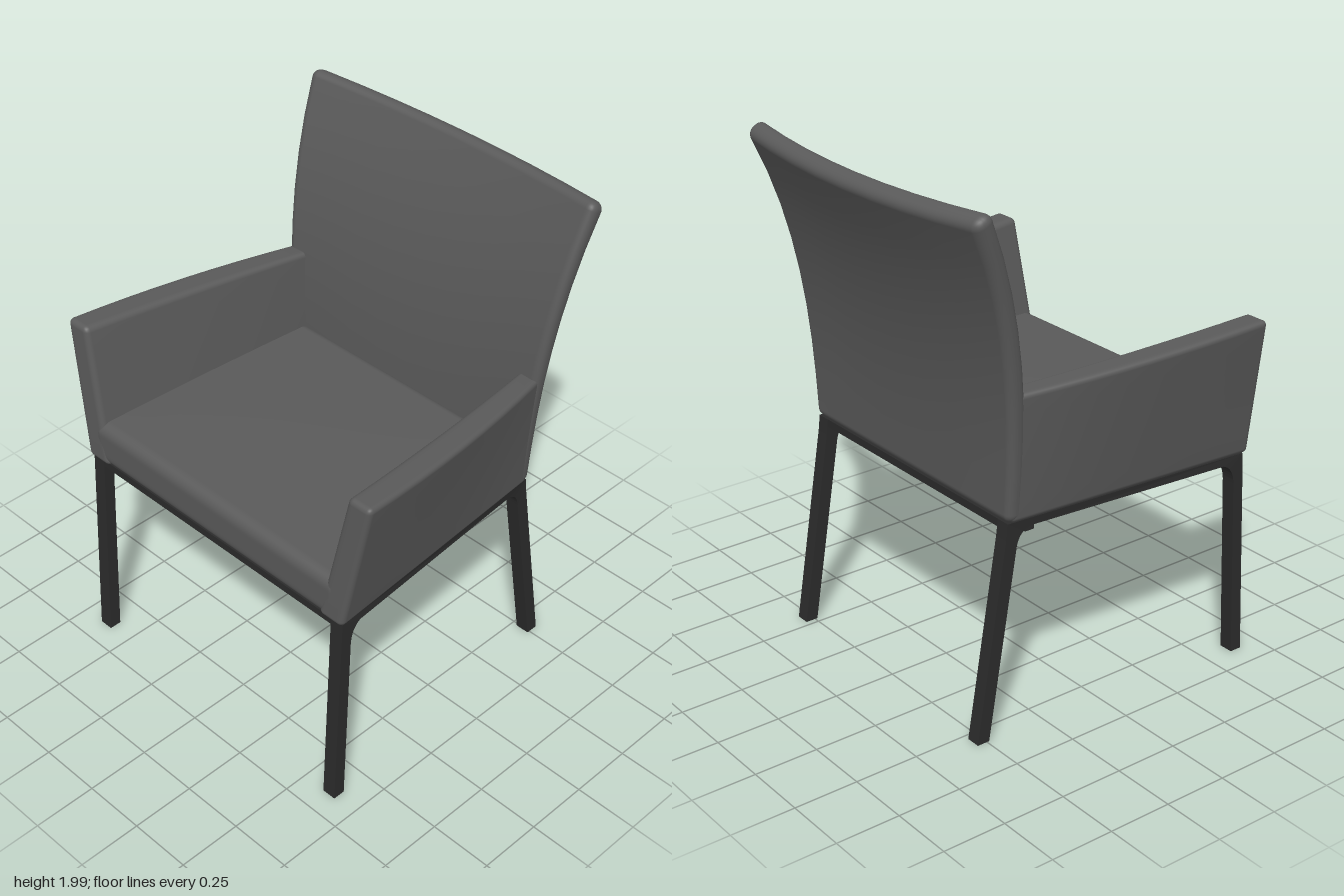
import * as THREE from 'three';
import { mergeVertices } from 'three/addons/utils/BufferGeometryUtils.js';

const lerp = THREE.MathUtils.lerp;
const upholstery = new THREE.MeshStandardMaterial({ name: 'grey upholstery', color: 0x5a5a5a });
const frameMat = new THREE.MeshStandardMaterial({ name: 'dark frame', color: 0x2b2b2b });

// Smooth block with rounded edges; warp maps (u, v, s) in -1..1 to a final position
function softBlock(w, h, d, r, warp) {
  const n = 16, k = 4;
  const geo = new THREE.BoxGeometry(n, n, n, n, n, n);
  geo.deleteAttribute('normal');
  geo.deleteAttribute('uv');
  const half = [w / 2, h / 2, d / 2];
  // Grid lines are gathered in the rounded zones at both ends of each axis
  const place = (c, a) => {
    const m = n / 2 - k, b = Math.abs(c);
    const x = b <= m ? (b / m) * (a - r) : a - r + ((b - m) / k) * r;
    return Math.sign(c) * x;
  };
  const pos = geo.attributes.position;
  for (let i = 0; i < pos.count; i++) {
    const p = [pos.getX(i), pos.getY(i), pos.getZ(i)].map((c, j) => place(c, half[j]));
    const q = p.map((c, j) => THREE.MathUtils.clamp(c, r - half[j], half[j] - r));
    const off = new THREE.Vector3(p[0] - q[0], p[1] - q[1], p[2] - q[2]).setLength(r).toArray();
    const [u, v, s] = q.map((c, j) => (c + off[j]) / half[j]);
    pos.setXYZ(i, ...warp(u, v, s));
  }
  const out = mergeVertices(geo, 1e-5);
  out.computeVertexNormals();
  return out;
}

// Extrude a (z, y) outline along x, centred on x = 0
function extrudeSide(shape, width) {
  return new THREE.ExtrudeGeometry(shape, { depth: width, bevelEnabled: false, curveSegments: 8 })
    .rotateY(-Math.PI / 2).translate(width / 2, 0, 0);
}

export function createModel() {
  const model = new THREE.Group();
  model.name = 'armchair';
  const add = (name, geo, mat) => {
    const mesh = new THREE.Mesh(geo, mat);
    mesh.name = name;
    model.add(mesh);
    return mesh;
  };

  // Seat cushion, tapering to the rear
  add('seat', softBlock(1.26, 0.18, 1, 0.045, (u, v, s) => {
    const t = (1 - s) / 2, k = (v + 1) / 2;
    const crown = 0.012 * (1 - u * u) * (1 - s * s) * k;
    return [u * lerp(0.64, 0.555, t), lerp(0.825, 1.005, k) + crown, lerp(0.632, -0.37, t)];
  }), upholstery);

  // Backrest, flaring upward, leaning back and bowed across its width
  add('backrest', softBlock(1.27, 1.17, 0.075, 0.032, (u, v, s) => {
    const k = (v + 1) / 2, b = (1 - s) / 2, bow = 1 - u * u;
    const y = lerp(0.83, 2, k) - 0.015 * bow * k * k - 0.04 * b * k ** 3;
    const z = -0.345 - 0.2 * k ** 2.6 - 0.07 * b - 0.055 * bow * k;
    return [u * lerp(0.59, 0.68, k), y, z];
  }), upholstery);

  for (const side of [1, -1]) {
    const label = side > 0 ? 'left' : 'right';

    // Armrest panel, leaning outward and curving in toward the back
    add(label + 'Armrest', softBlock(0.11, 0.55, 1.02, 0.022, (u, v, s) => {
      const t = (1 - s) / 2, k = (v + 1) / 2, bow = 4 * t * (1 - t) * k;
      const outer = lerp(lerp(0.665, 0.588, t), lerp(0.765, 0.618, t), k) + 0.025 * bow;
      const inner = lerp(lerp(0.55, 0.5, t), lerp(0.662, 0.535, t), k) + 0.01 * bow;
      return [
        side * lerp(inner, outer, (side * u + 1) / 2),
        lerp(0.83, lerp(1.387, 1.315, t), k),
        lerp(lerp(0.637, 0.605, k), -0.4, t),
      ];
    }), upholstery);

    // Front leg, side rail and back leg in one piece with curved inner corners
    const outline = new THREE.Shape();
    outline.moveTo(0.66, 0);
    outline.lineTo(0.62, 0.83);
    outline.lineTo(-0.408, 0.83);
    outline.lineTo(-0.415, 0.77);
    outline.lineTo(-0.54, 0);
    outline.lineTo(-0.49, 0);
    outline.lineTo(-0.37, 0.73);
    outline.quadraticCurveTo(-0.36, 0.79, -0.31, 0.8);
    outline.lineTo(0.53, 0.8);
    outline.quadraticCurveTo(0.575, 0.785, 0.58, 0.72);
    outline.lineTo(0.612, 0);
    const legs = extrudeSide(outline, 0.056);
    const pos = legs.attributes.position;
    for (let i = 0; i < pos.count; i++) {
      const t = THREE.MathUtils.clamp((pos.getZ(i) + 0.37) / 0.945, 0, 1);
      pos.setX(i, pos.getX(i) + side * lerp(0.551, 0.627, t));
    }
    legs.computeVertexNormals();
    add(label + 'LegFrame', legs, frameMat);
  }

  // Cross rails under the front and back edges
  add('frontRail', new THREE.BoxGeometry(1.26, 0.03, 0.045).translate(0, 0.815, 0.597), frameMat);
  add('backRail', new THREE.BoxGeometry(1.1, 0.03, 0.045).translate(0, 0.815, -0.385), frameMat);

  // Dark panel closing the underside
  const panel = new THREE.Shape([[-0.63, -0.59], [0.63, -0.59], [0.55, 0.38], [-0.55, 0.38]]
    .map(([x, y]) => new THREE.Vector2(x, y)));
  add('undersidePanel', new THREE.ExtrudeGeometry(panel, { depth: 0.008, bevelEnabled: false })
    .rotateX(-Math.PI / 2).translate(0, 0.818, 0), frameMat);

  // Sagging strap running front to back
  const strap = new THREE.Shape();
  strap.moveTo(0.54, 0.812);
  strap.quadraticCurveTo(0.11, 0.618, -0.32, 0.812);
  strap.lineTo(-0.32, 0.798);
  strap.quadraticCurveTo(0.11, 0.604, 0.54, 0.798);
  add('supportStrap', extrudeSide(strap, 0.06), frameMat);

  return model;
}
